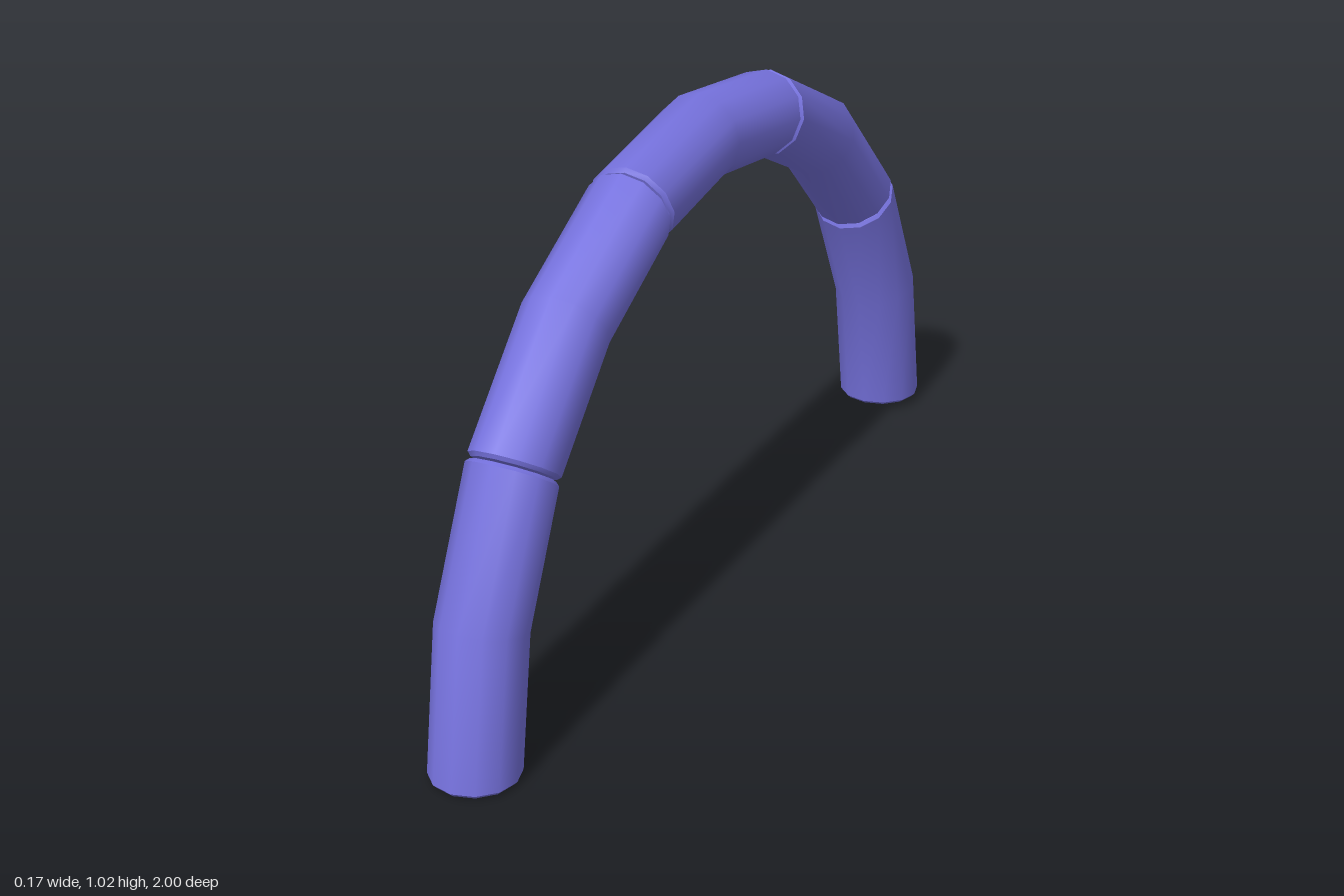
import * as THREE from 'three';

const SIDES = 12;        // facets around the tube
const ARC_R = 0.912;     // arch centreline radius
const ARC_Y = 0.02;      // height of the arch centre
const TUBE_R = 0.0875;
const BEVEL = 0.007;
const DEG = Math.PI / 180;

// Point on the arch: t runs from the top towards the front, a runs around the tube
function archPoint(t, r, a) {
  const d = ARC_R + r * Math.cos(a);
  return [r * Math.sin(a), ARC_Y + d * Math.cos(t), d * Math.sin(t)];
}

// One bent tube segment with bevelled, capped ends
function segmentGeometry(t0, t1) {
  const pos = [], idx = [];
  const b = BEVEL / ARC_R;
  const rings = [
    [t0, TUBE_R - BEVEL], [t0 + b, TUBE_R], [(t0 + t1) / 2, TUBE_R],
    [t1 - b, TUBE_R], [t1, TUBE_R - BEVEL],
  ];
  const addRing = ([t, r]) => {
    const start = pos.length / 3;
    for (let i = 0; i < SIDES; i++) pos.push(...archPoint(t, r, (i / SIDES) * Math.PI * 2));
    return start;
  };

  // Separate bands keep the bevel edges sharp while the body stays smooth
  for (const band of [[0, 1], [1, 2, 3], [3, 4]]) {
    const starts = band.map((k) => addRing(rings[k]));
    for (let k = 0; k + 1 < starts.length; k++) {
      for (let i = 0; i < SIDES; i++) {
        const j = (i + 1) % SIDES;
        const p = starts[k] + i, q = starts[k] + j;
        const u = starts[k + 1] + i, v = starts[k + 1] + j;
        idx.push(p, u, q, q, u, v);
      }
    }
  }

  // Flat end caps
  for (const end of [0, 4]) {
    const s = addRing(rings[end]);
    const c = pos.length / 3;
    pos.push(...archPoint(rings[end][0], 0, 0));
    for (let i = 0; i < SIDES; i++) {
      const j = (i + 1) % SIDES;
      if (end === 0) idx.push(c, s + i, s + j);
      else idx.push(c, s + j, s + i);
    }
  }

  const geo = new THREE.BufferGeometry();
  geo.setAttribute('position', new THREE.Float32BufferAttribute(pos, 3));
  geo.setIndex(idx);
  geo.computeVertexNormals();
  return geo;
}

export function createModel() {
  const group = new THREE.Group();
  group.name = 'arch';
  const violet = new THREE.MeshStandardMaterial({ color: 0x7672de });
  violet.name = 'violet blue';

  // Five equal segments from the back foot to the front foot, with narrow gaps
  const names = ['backLeg', 'backShoulder', 'crown', 'frontShoulder', 'frontLeg'];
  const first = -90.4, last = 91.26, gap = 0.25;
  const span = (last - first - gap * (names.length - 1)) / names.length;
  names.forEach((name, i) => {
    const t0 = first + i * (span + gap);
    const mesh = new THREE.Mesh(segmentGeometry(t0 * DEG, (t0 + span) * DEG), violet);
    mesh.name = name;
    group.add(mesh);
  });
  return group;
}
